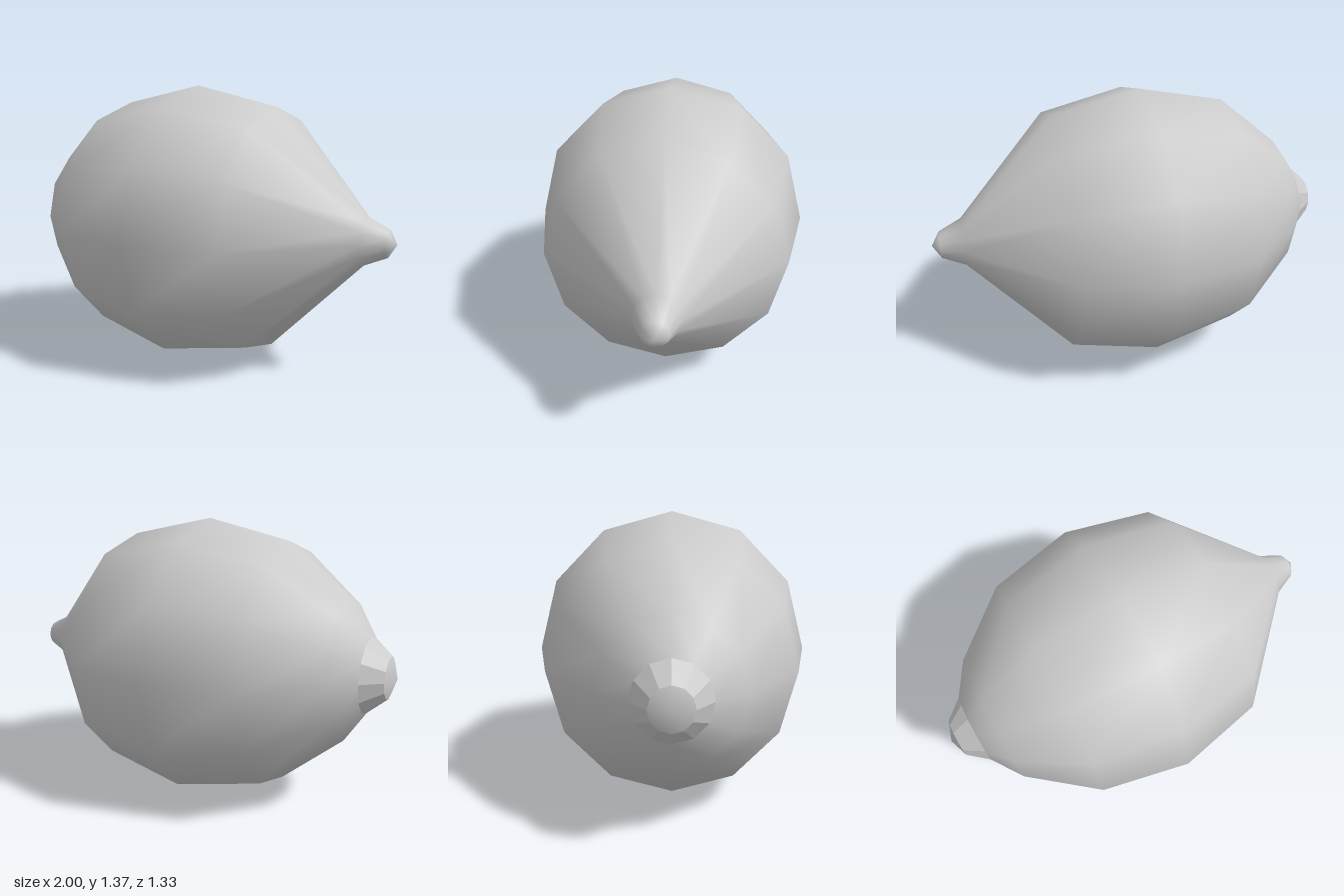
import * as THREE from 'three';
import { mergeVertices } from 'three/addons/utils/BufferGeometryUtils.js';

const SIDES = 12;

// Revolves [x, radius] pairs about the x axis, slightly narrower in z
function revolve(name, profile, flatShading = false) {
  const points = profile.map(([x, r]) => new THREE.Vector2(r, x));
  let geometry = new THREE.LatheGeometry(points, SIDES);
  geometry.rotateZ(-Math.PI / 2);
  geometry.scale(1, 1, 0.97);
  geometry.deleteAttribute('normal');
  geometry.deleteAttribute('uv');
  geometry = mergeVertices(geometry, 1e-4);
  geometry.computeVertexNormals();
  const mesh = new THREE.Mesh(
    geometry,
    new THREE.MeshStandardMaterial({ color: 0xcccccc, flatShading })
  );
  mesh.name = name;
  mesh.position.y = 0.685;
  return mesh;
}

export function createModel() {
  const group = new THREE.Group();
  group.name = 'lemon';

  // Rounded fruit drawn out to a small nipple at +x
  group.add(revolve('fruitBody', [
    [-0.87, 0.182], [-0.765, 0.34], [-0.46, 0.593], [-0.04, 0.685],
    [0.39, 0.593], [0.85, 0.116], [0.96, 0.065], [1, 0],
  ]));

  // Faceted collar where the stalk was attached
  group.add(revolve('stemCollar', [[-0.965, 0.1], [-0.87, 0.182]], true));

  // Shallow cap closing the stem end
  group.add(revolve('stemCap', [[-1, 0], [-0.965, 0.1]]));

  return group;
}
